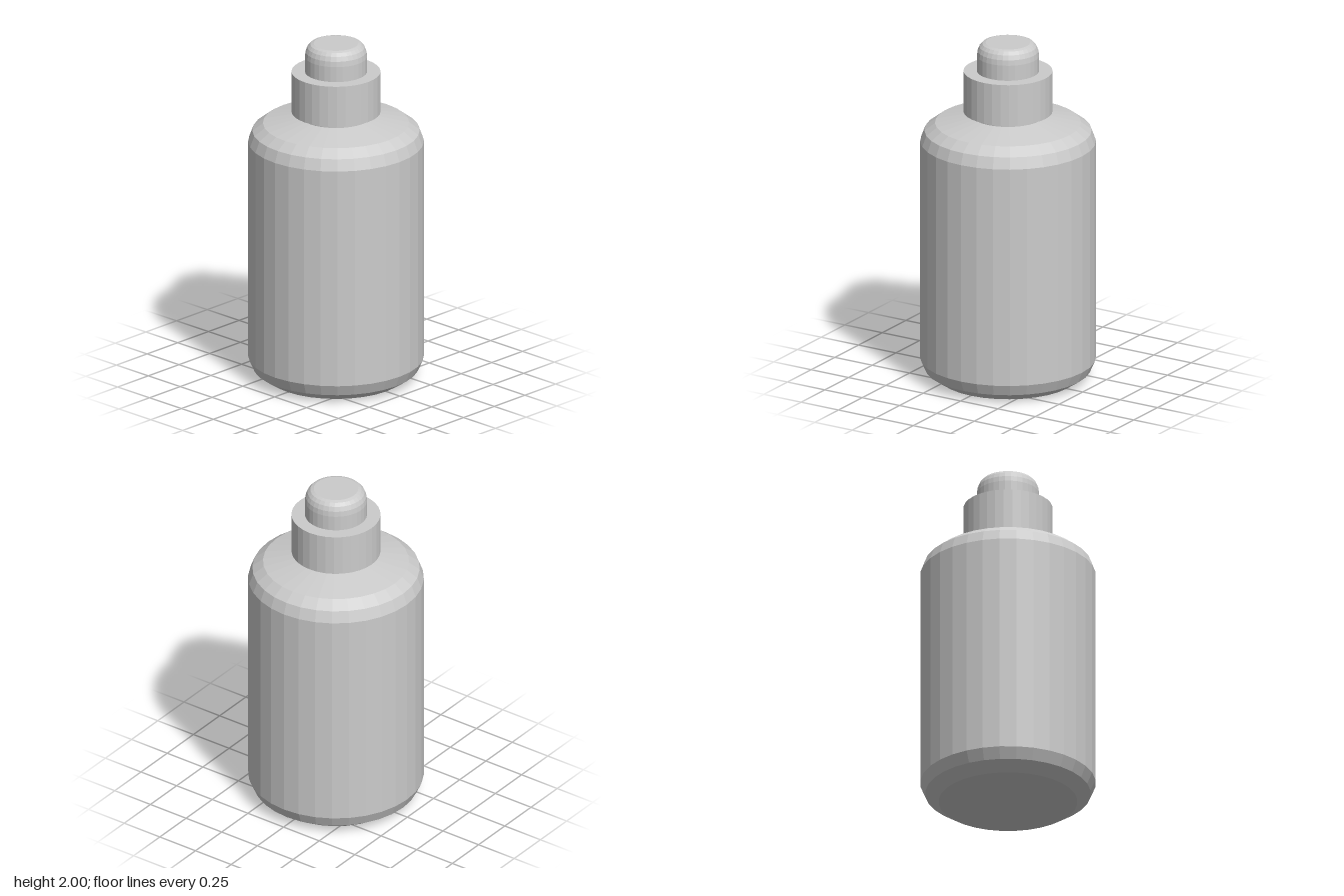
import * as THREE from 'three';

const SIDES = 32;

export function createModel() {
  const group = new THREE.Group();
  const material = new THREE.MeshStandardMaterial({ color: 0xcccccc, flatShading: true });

  // Turned part from a [radius, height] profile, listed from bottom to top
  const turned = (name, profile) => {
    const points = profile.map(([r, y]) => new THREE.Vector2(r, y));
    const mesh = new THREE.Mesh(new THREE.LatheGeometry(points, SIDES), material);
    mesh.name = name;
    group.add(mesh);
  };

  // Bottle body with bevelled base and sloping shoulder
  turned('body', [
    [0, 0], [0.393, 0], [0.468, 0.05], [0.497, 0.115],
    [0.497, 1.41], [0.473, 1.475], [0.413, 1.52], [0.208, 1.565], [0, 1.565],
  ]);

  // Short neck under the collar
  turned('neck', [[0.208, 1.56], [0.208, 1.6]]);

  // Wide screw collar
  turned('collar', [[0, 1.588], [0.252, 1.588], [0.252, 1.83], [0, 1.83]]);

  // Rounded cap: straight wall, quarter-round edge, flat top
  const cap = [[0.176, 1.825]];
  const steps = 4;
  for (let i = 0; i <= steps; i++) {
    const a = (i / steps) * Math.PI / 2;
    cap.push([0.126 + 0.05 * Math.cos(a), 1.92 + 0.08 * Math.sin(a)]);
  }
  cap.push([0, 2]);
  turned('cap', cap);

  return group;
}
